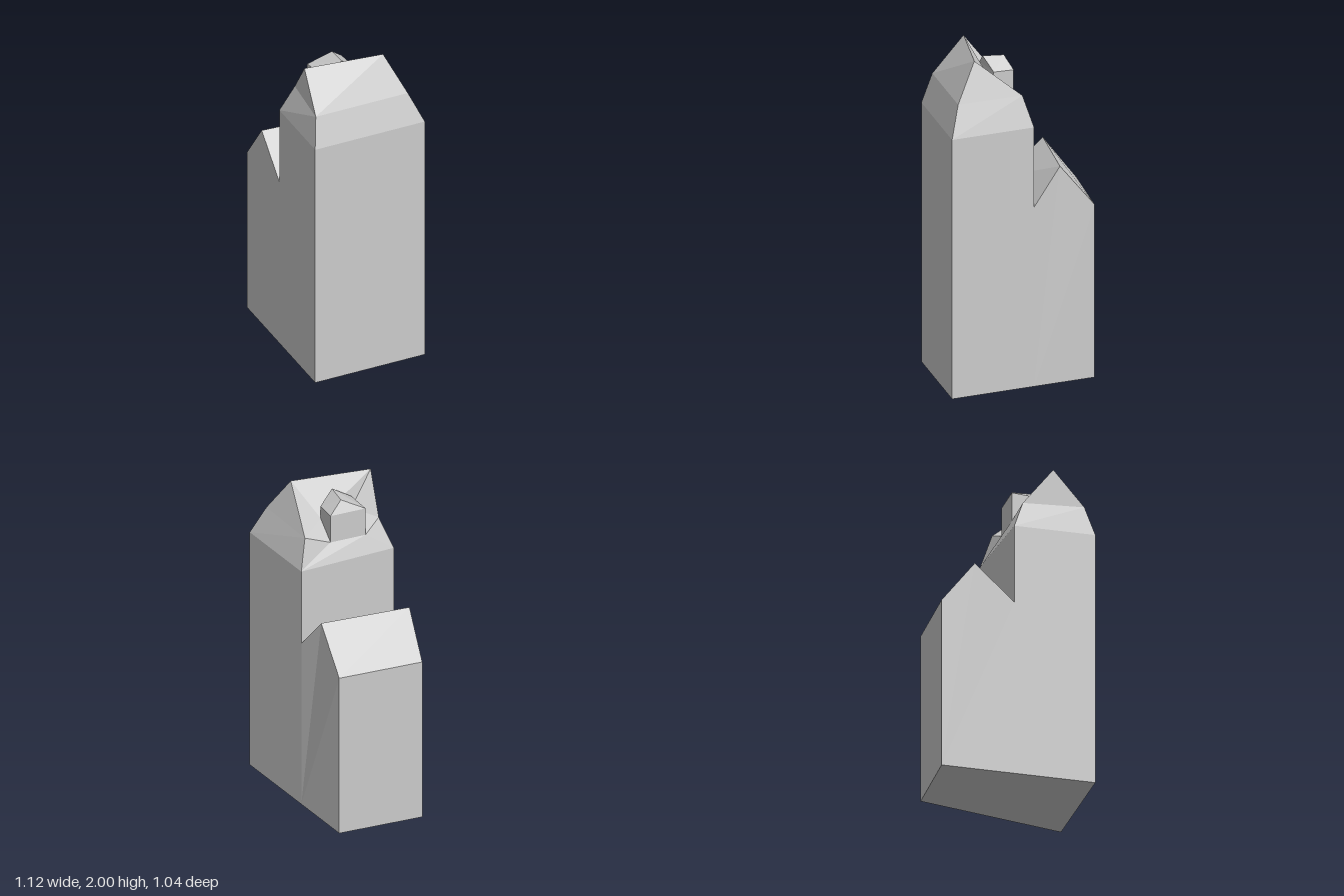
import * as THREE from 'three';

// Plan corners [x, z]
const plan = {
  front: [0, 0.52], side: [0.56, 0.08],              // outer tower corners
  inE: [0.157, -0.265], inF: [-0.295, 0.13],         // tower / wing joint
  backC: [-0.14, -0.52], backD: [-0.56, -0.22],      // rear wing corners
};
const up = (name, y) => [plan[name][0], y, plan[name][1]];

// Flat-shaded mesh from polygons, corners counter-clockwise seen from outside
function faceted(name, faces) {
  const pos = [];
  for (const f of faces) {
    for (let i = 1; i < f.length - 1; i++) pos.push(...f[0], ...f[i], ...f[i + 1]);
  }
  const geo = new THREE.BufferGeometry();
  geo.setAttribute('position', new THREE.Float32BufferAttribute(pos, 3));
  geo.computeVertexNormals();
  const mesh = new THREE.Mesh(geo, new THREE.MeshStandardMaterial({ color: 0xcccccc, flatShading: true }));
  mesh.name = name;
  return mesh;
}

// Quads joining two matching closed rings
const band = (low, high) => low.map((p, i) => {
  const j = (i + 1) % low.length;
  return [p, low[j], high[j], high[i]];
});

export function createModel() {
  const model = new THREE.Group();
  model.name = 'building';

  const [A0, B0, E0, C0, D0, F0] = ['front', 'side', 'inE', 'backC', 'backD', 'inF'].map(n => up(n, 0));
  const [A1, B1, E1, F1] = ['front', 'side', 'inE', 'inF'].map(n => up(n, 1.59));
  const Ev = up('inE', 1.1), Fv = up('inF', 1.1);
  const C1 = up('backC', 1.06), D1 = up('backD', 1.06);

  // Tower walls
  model.add(faceted('towerWalls', [
    [A0, B0, B1, A1], [B0, E0, E1, B1], [F0, A0, A1, F1], [Ev, Fv, F1, E1],
  ]));

  // Rear wing with its gable roof and valley
  const Kc = [0.01, 1.32, -0.365], Kd = [-0.44, 1.32, -0.06];
  model.add(faceted('rearWingWalls', [
    [C0, D0, D1, C1], [E0, C0, C1, Kc, Ev], [D0, F0, Fv, Kd, D1],
  ]));
  model.add(faceted('rearWingRoof', [[C1, D1, Kd, Kc], [Fv, Ev, Kc, Kd]]));
  model.add(faceted('baseFloor', [[D0, C0, B0, A0]]));

  // Chimney footprint, sunk into the rear roof slope
  const foot = [[-0.03, 0.165], [0.115, 0.01], [0.03, -0.08], [-0.145, 0.055]];
  const low = foot.map(([x, z], i) => [x, i < 2 ? 1.8 : 1.7, z]);
  const eave = foot.map(([x, z]) => [x, 1.88, z]);
  const [p2, p4, p5, p1] = low;

  // Two-pitch tower roof
  const a = [-0.01, 1.775, 0.455], b = [0.46, 1.775, 0.085];
  const e = [0.155, 1.775, -0.19], f = [-0.2, 1.775, 0.145];
  const R1 = [-0.11, 2, 0.3], R2 = [0.305, 2, 0.05];
  model.add(faceted('towerRoof', [
    [A1, B1, b, a], [B1, E1, e, b], [F1, A1, a, f],
    [E1, F1, p1, p5], [E1, p5, e], [F1, f, p1],
    [a, b, R2, R1], [b, e, R2], [f, a, R1],
    [e, p5, p4], [e, p4, R2], [p4, p2, R1, R2], [p1, f, p2], [f, R1, p2],
  ]));

  // Chimney with a small gabled cap
  const [q2, q4, q5, q1] = eave;
  const capBack = [-0.01, 1.95, 0], capFront = [0.07, 1.955, 0.1];
  model.add(faceted('chimney', [
    ...band(low, eave),
    [q5, q1, capBack], [q2, q4, capFront],
    [q4, q5, capBack, capFront], [q1, q2, capFront, capBack],
  ]));

  return model;
}
